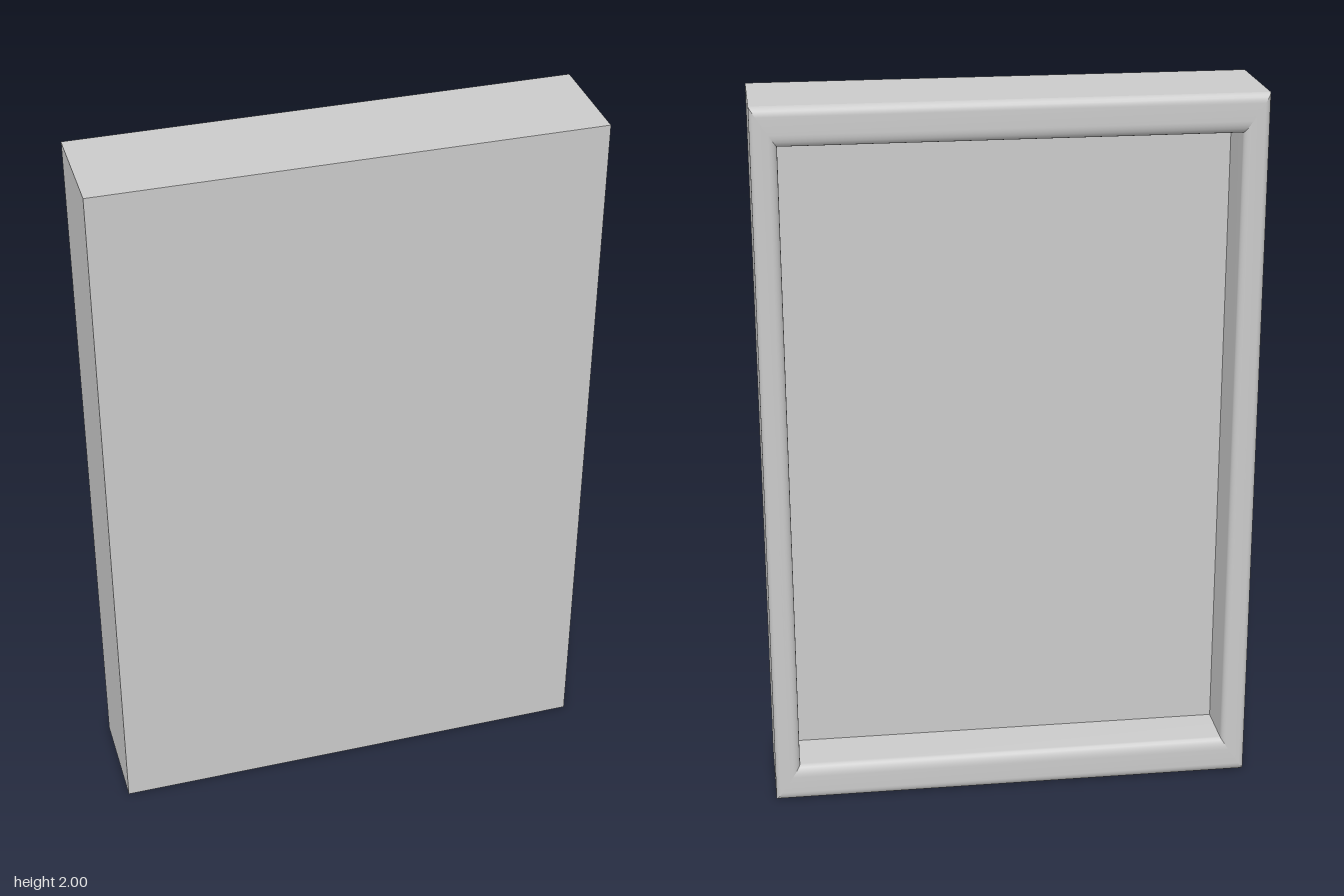
import * as THREE from 'three';

const HX = 0.68, HY = 1, HZ = 0.157;   // half sizes of the frame
const RIM_X = 0.07, RIM_Y = 0.106;     // rim widths at the sides and at top and bottom
const FLOOR_Z = 0;                     // depth of the recessed panel

const material = new THREE.MeshStandardMaterial({ color: 0xcccccc });
const signs = [[-1, -1], [1, -1], [1, 1], [-1, 1]];

// Corner k of the rectangle that is inset by a share of the rim width
const corner = (k, inset, z) => [
  signs[k % 4][0] * (HX - RIM_X * inset),
  signs[k % 4][1] * (HY - RIM_Y * inset), z];

// One mitred side of the frame, swept along a profile of [inset, z]
function sideStrip(k, profile) {
  const positions = [], index = [];
  profile.forEach(([inset, z], i) => {
    positions.push(...corner(k, inset, z), ...corner(k + 1, inset, z));
    if (i) {
      const a = 2 * i - 2;
      index.push(a, a + 2, a + 1, a + 1, a + 2, a + 3);
    }
  });
  const geometry = new THREE.BufferGeometry();
  geometry.setAttribute('position', new THREE.Float32BufferAttribute(positions, 3));
  geometry.setIndex(index);
  geometry.computeVertexNormals();
  return geometry;
}

// Rounded lip: outer round, flat back, inner round, then the wall of the recess
function lipProfile() {
  const points = [], steps = 5, r = 0.02, outer = 0.24, inner = 0.32;
  for (let i = 0; i <= steps; i++) {
    const a = (i / steps) * Math.PI / 2;
    points.push([outer * (1 - Math.cos(a)), -HZ + r * (1 - Math.sin(a))]);
  }
  for (let i = 0; i <= steps; i++) {
    const a = (i / steps) * Math.PI / 2;
    points.push([1 - inner * (1 - Math.sin(a)), -HZ + r * (1 - Math.cos(a))]);
  }
  points.push([1, FLOOR_Z]);
  return points;
}

export function createModel() {
  const model = new THREE.Group();
  model.name = 'pictureFrame';
  const add = (name, geometry) => {
    const mesh = new THREE.Mesh(geometry, material);
    mesh.name = name;
    model.add(mesh);
    return mesh;
  };

  // Outer walls and rounded lip, one of each per side
  const lip = lipProfile();
  ['bottom', 'left', 'top', 'right'].forEach((side, k) => {
    add(side + 'OuterWall', sideStrip(k, [[0, HZ], lip[0]]));
    add(side + 'Lip', sideStrip(k, lip));
  });

  // Flat front and the recessed panel that faces back
  add('frontPanel', new THREE.PlaneGeometry(2 * HX, 2 * HY)).position.z = HZ;
  const recess = add('recessedPanel', new THREE.PlaneGeometry(2 * (HX - RIM_X), 2 * (HY - RIM_Y)));
  recess.position.z = FLOOR_Z;
  recess.rotation.y = Math.PI;

  // Stand the frame on the ground
  model.children.forEach((mesh) => { mesh.position.y = HY; });
  return model;
}
